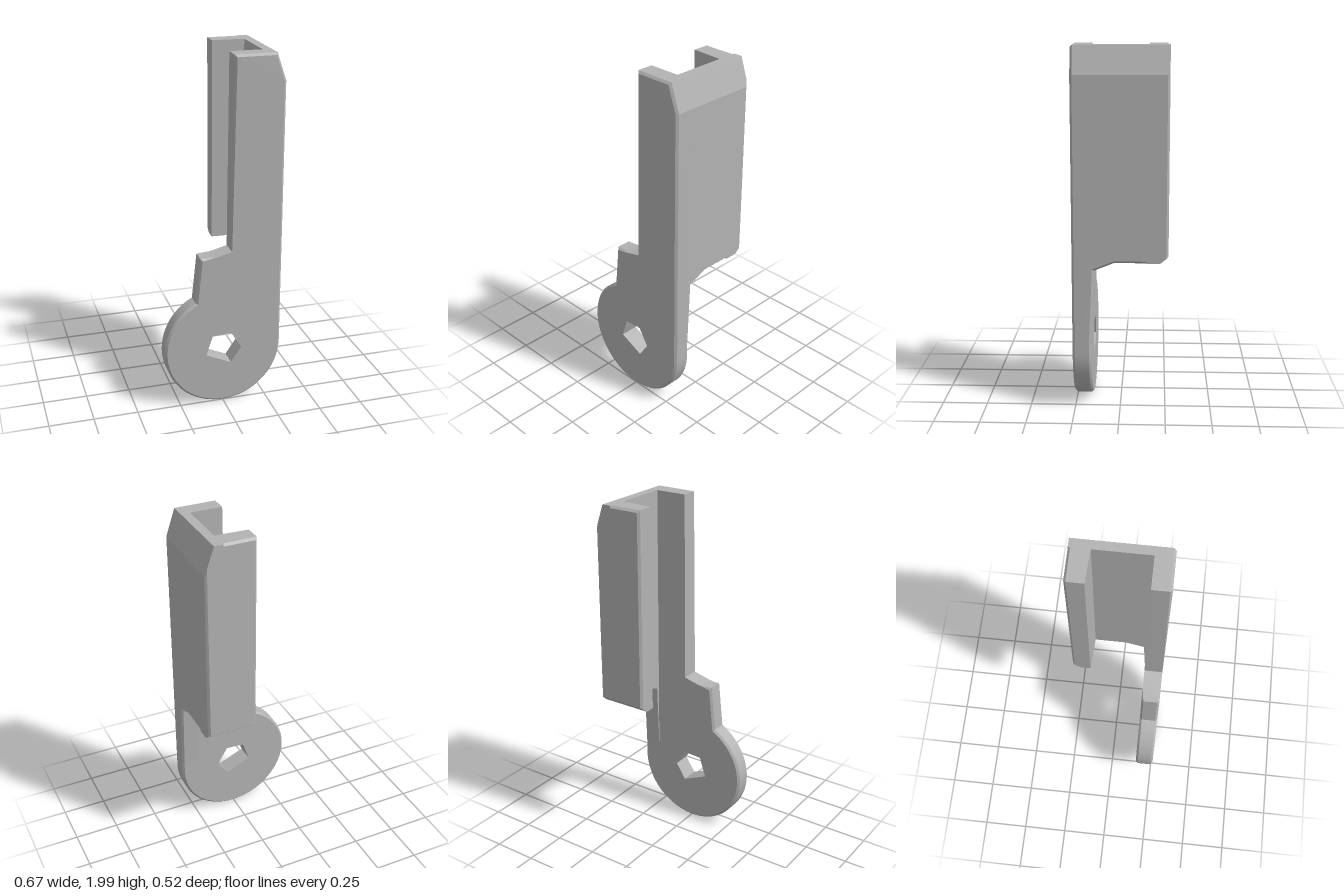
import * as THREE from 'three';
import { toCreasedNormals } from 'three/addons/utils/BufferGeometryUtils.js';

const BEVEL = 0.012;

// Move each corner of a counter-clockwise outline inward by its own amount (mitred)
function inset(points, amount) {
  return points.map((p, i) => {
    const a = points[(i + points.length - 1) % points.length];
    const b = points[(i + 1) % points.length];
    const d1 = p.clone().sub(a).normalize();
    const d2 = b.clone().sub(p).normalize();
    const n = new THREE.Vector2(-d1.y - d2.y, d1.x + d2.x);
    return p.clone().addScaledVector(n, amount(p) / (1 + d1.dot(d2)));
  });
}

// Closed prism through several rings along z; each ring is [z, inset rule]
function prism(points, rings, hole = [], warp = () => {}) {
  const pos = [];
  const put = (p, z) => {
    const v = new THREE.Vector3(p.x, p.y, z);
    warp(v);
    pos.push(v.x, v.y, v.z);
  };
  const wall = (lo, z0, hi, z1) => lo.forEach((p, i) => {
    const j = (i + 1) % lo.length;
    put(p, z0); put(lo[j], z0); put(hi[j], z1);
    put(p, z0); put(hi[j], z1); put(hi[i], z1);
  });
  const loops = rings.map(([z, rule]) => ({ z, loop: inset(points, rule) }));
  for (let i = 1; i < loops.length; i++) {
    wall(loops[i - 1].loop, loops[i - 1].z, loops[i].loop, loops[i].z);
  }
  const first = loops[0], last = loops[loops.length - 1];
  if (hole.length) {
    const inner = [...hole].reverse();
    wall(inner, first.z, inner, last.z);
  }
  for (const { z, loop } of [first, last]) {
    const all = [...loop, ...hole];
    const faces = THREE.ShapeUtils.triangulateShape(loop, hole.length ? [hole] : []);
    for (const [a, b, c] of faces) {
      for (const k of z === first.z ? [c, b, a] : [a, b, c]) put(all[k], z);
    }
  }
  const geo = new THREE.BufferGeometry();
  geo.setAttribute('position', new THREE.Float32BufferAttribute(pos, 3));
  return geo;
}

const vecs = (list) => list.map(([x, y]) => new THREE.Vector2(x, y));
const none = () => 0;
const full = () => BEVEL;

export function createModel() {
  const group = new THREE.Group();
  const grey = new THREE.MeshStandardMaterial({ color: 0xb3b3b3 });
  const add = (name, geo) => {
    const mesh = new THREE.Mesh(toCreasedNormals(geo, 0.3), grey);
    mesh.name = name;
    group.add(mesh);
  };

  // Front plate: round eye with a pentagonal hole, stepped shoulder and long arm
  const outline = [];
  const steps = 56;
  for (let i = 0; i <= steps; i++) {
    const a = THREE.MathUtils.degToRad(118 + (242 * i) / steps);
    outline.push([0.336 * Math.cos(a), 0.341 + 0.336 * Math.sin(a)]);
  }
  outline.push([0.336, 1.85], [0.285, 2], [0.055, 2], [0.047, 0.925], [-0.05, 0.9], [-0.13, 0.9]);
  const hole = vecs([[0.105, 0.335], [0.045, 0.432], [-0.062, 0.425], [-0.1, 0.31], [0.045, 0.245]]);
  const isStep = (p) => p.x > -0.1 && p.x < 0.05 && p.y > 0.8;
  const frontRule = (p) => (isStep(p) ? 0 : BEVEL);
  const backRule = (p) => (isStep(p) || p.y > 1 ? 0 : BEVEL);
  add('frontPlate', prism(vecs(outline), [
    [0.155, backRule], [0.155 + BEVEL, none], [0.258 - BEVEL, none], [0.258, frontRule],
  ], hole));

  // Side web: drawn as (-z, y), extruded along x, with the top outer edge cut at a slant
  const web = vecs([
    [-0.2, 0.34], [-0.158, 0.34], [-0.137, 0.81], [-0.03, 0.853],
    [0.215, 0.853], [0.26, 0.89], [0.26, 2], [-0.2, 2],
  ]);
  const slant = (v) => { v.y = Math.min(v.y, 2 - Math.max(0, v.z - 0.285) * (0.15 / 0.051)); };
  const webGeo = prism(web, [
    [0.235, none], [0.285, none], [0.336 - BEVEL, none], [0.336, full],
  ], [], slant);
  webGeo.rotateY(Math.PI / 2);
  add('sideWeb', webGeo);

  // Back flange: bottom edge chamfered, inner face slightly tapered
  const flange = vecs([[0.053, 0.853], [0.336, 0.853], [0.336, 1.85], [0.285, 2], [0.053, 2]]);
  add('backFlange', prism(flange, [
    [-0.26, full], [-0.26 + BEVEL, none], [-0.215, none], [-0.155, none],
  ], [], (v) => {
    v.y = Math.max(v.y, 0.853 + (-0.215 - v.z) * 0.82);
    if (v.z > -0.16) v.z = -0.158 + 0.05 * (v.x - 0.053);
  }));

  return group;
}
